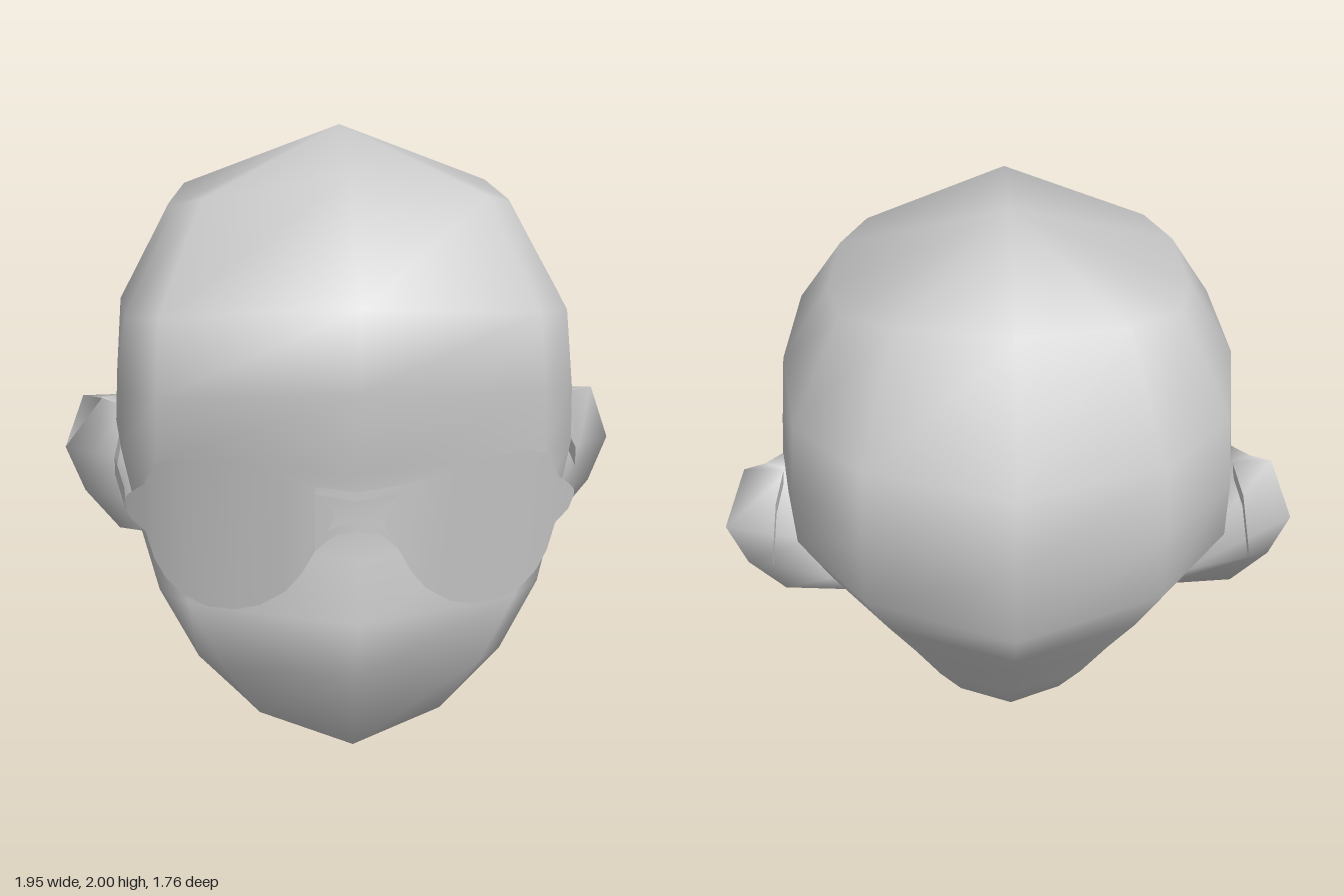
import * as THREE from 'three';

const grey = new THREE.MeshStandardMaterial({ color: 0xcccccc, side: THREE.DoubleSide });
grey.name = 'plain grey';

// Skin rows (top to bottom) of [x, y, z] points; columns run left to right seen from outside.
function loft(name, rows, closed = false) {
  const n = rows[0].length, index = [];
  for (let r = 0; r < rows.length - 1; r++) {
    for (let c = 0; c < (closed ? n : n - 1); c++) {
      const a = r * n + c, d = r * n + (c + 1) % n, b = a + n, e = d + n;
      index.push(a, b, d, d, b, e);
    }
  }
  const g = new THREE.BufferGeometry();
  g.setAttribute('position', new THREE.Float32BufferAttribute(rows.flat(2), 3));
  g.setIndex(index);
  g.computeVertexNormals();
  const mesh = new THREE.Mesh(g, grey);
  mesh.name = name;
  return mesh;
}

const mirrorRows = rows => rows.map(row => row.map(([x, y, z]) => [-x, y, z]).reverse());
const lerp = THREE.MathUtils.lerp;

// Head: rings given by their front, side and back points
function head() {
  // [front y, front z, side y, side z, half width, back y, back z, narrowing behind the jaw]
  const rings = [
    [1.92, 0.42, 1.74, -0.10, 0.58, 1.82, -0.61, 1],
    [1.60, 0.83, 1.43, -0.02, 0.75, 1.40, -0.88, 1],
    [1.35, 0.885, 1.18, 0.00, 0.77, 1.14, -0.87, 1],
    [1.08, 0.82, 1.00, 0.00, 0.78, 0.86, -0.85, 0.98],
    [0.78, 0.80, 0.78, 0.04, 0.73, 0.68, -0.72, 0.9],
    [0.60, 0.88, 0.55, 0.12, 0.66, 0.50, -0.58, 0.8],
    [0.40, 0.83, 0.30, 0.18, 0.53, 0.34, -0.46, 0.75],
    [0.07, 0.65, 0.15, 0.20, 0.38, 0.20, -0.35, 0.75],
    [0.03, 0.55, 0.06, 0.15, 0.19, 0.09, -0.09, 0.85],
  ];
  // Half outline seen from above: [x factor, z factor], front to back
  const half = [[0, 1], [0.8, 0.65], [0.95, 0.45], [1, 0], [0.92, -0.5], [0.62, -0.81], [0, -1]];
  const outline = [...half, ...half.slice(1, -1).reverse().map(([x, z]) => [-x, z])];
  const rows = rings.map(([yf, zf, ys, zs, w, yb, zb, k]) => outline.map(([x, s]) => [
    x * w * (s < 0 ? k : 1),
    lerp(ys, s > 0 ? yf : yb, s * s),
    lerp(zs, s > 0 ? zf : zb, Math.abs(s)),
  ]));
  rows.unshift(outline.map(() => [0, 2, -0.11]));
  rows.push(outline.map(() => [0, 0, 0.12]));

  const mesh = loft('head', rows, true);
  // Blend the normals of the coincident points at each pole
  const nor = mesh.geometry.attributes.normal, n = outline.length;
  for (let c = 0; c < n; c++) {
    nor.setXYZ(c, 0, 1, 0);
    nor.setXYZ((rows.length - 1) * n + c, 0, -1, 0);
  }
  return mesh;
}

// Ear: wedge running from the head out to a thin rim, its back sloping into the skull
function earRows() {
  // [y, rim x, rim z, front root x, back root x, back root z]
  const rows = [
    [1.055, 0.90, -0.12, 0.75, 0.74, -0.13],
    [0.85, 0.975, -0.165, 0.72, 0.68, -0.25],
    [0.69, 0.91, -0.15, 0.67, 0.60, -0.25],
    [0.555, 0.79, -0.12, 0.62, 0.54, -0.14],
  ].map(([y, x, z, front, back, zBack]) => [
    [front, y, 0.01],
    [lerp(front, x, 0.55), y, -0.085],
    [x, y, z],
    [back, y, zBack],
  ]);
  const cap = row => row.map(() => [...row[1]]);
  return [cap(rows[0]), ...rows, cap(rows[3])];
}

// Arm of the glasses: ribbon that passes through the temple and hooks behind the ear
function armRows() {
  const path = [[0.725, 0.905, 0.53, 0.035], [0.768, 0.945, 0.32, 0.032], [0.757, 0.985, 0.1, 0.025],
    [0.765, 1.035, -0.12, 0.02], [0.782, 1.005, -0.29, 0.02], [0.79, 0.88, -0.425, 0.02]];
  return [1, -1].map(s => path.map(([x, y, z, h]) => [x, y + s * h, z]));
}

// Point on the wrapped surface of the glasses
function onLens(x, y) {
  const tilt = 0.15 * (1.1 - y) * Math.min(1, Math.abs(x) / 0.3);
  return [x, y, 0.85 - 0.48 * x * x - 0.6 * Math.abs(x) ** 8 - tilt];
}

// Columns of [x, top, bottom] to two rows
const band = cols => [1, 2].map(i => cols.map(c => onLens(c[0], c[i])));
const bothSides = cols => [...cols.slice(1).reverse().map(([x, t, b]) => [-x, t, b]), ...cols];

export function createModel() {
  const model = new THREE.Group();
  model.name = 'head with glasses';
  model.add(head());

  const glasses = new THREE.Group();
  glasses.name = 'glasses';
  // Bars above and below the bridge opening
  glasses.add(loft('upperBridge', band(bothSides([[0, 1.03, 1.0], [0.13, 1.045, 1.02]]))));
  glasses.add(loft('lowerBridge', band(bothSides([[0, 0.93, 0.9], [0.06, 0.92, 0.89], [0.09, 0.9, 0.87], [0.13, 0.835, 0.83]]))));

  const lens = band([[0.13, 1.045, 0.83], [0.17, 1.053, 0.75], [0.22, 1.066, 0.68], [0.3, 1.088, 0.615],
    [0.38, 1.1, 0.588], [0.47, 1.105, 0.585], [0.55, 1.1, 0.615], [0.6, 1.08, 0.66], [0.635, 1.04, 0.72],
    [0.66, 0.98, 0.81], [0.71, 0.93, 0.84], [0.73, 0.9, 0.88]]);
  const bridgeSide = band([[0.07, 0.96, 0.955], [0.09, 0.98, 0.9], [0.13, 1.02, 0.83]]);

  for (const [side, place] of [['left', r => r], ['right', mirrorRows]]) {
    glasses.add(loft(side + 'Lens', place(lens)));
    glasses.add(loft(side + 'BridgeSide', place(bridgeSide)));
    glasses.add(loft(side + 'Arm', place(armRows())));
    model.add(loft(side + 'Ear', place(earRows()), true));
  }
  model.add(glasses);
  return model;
}
